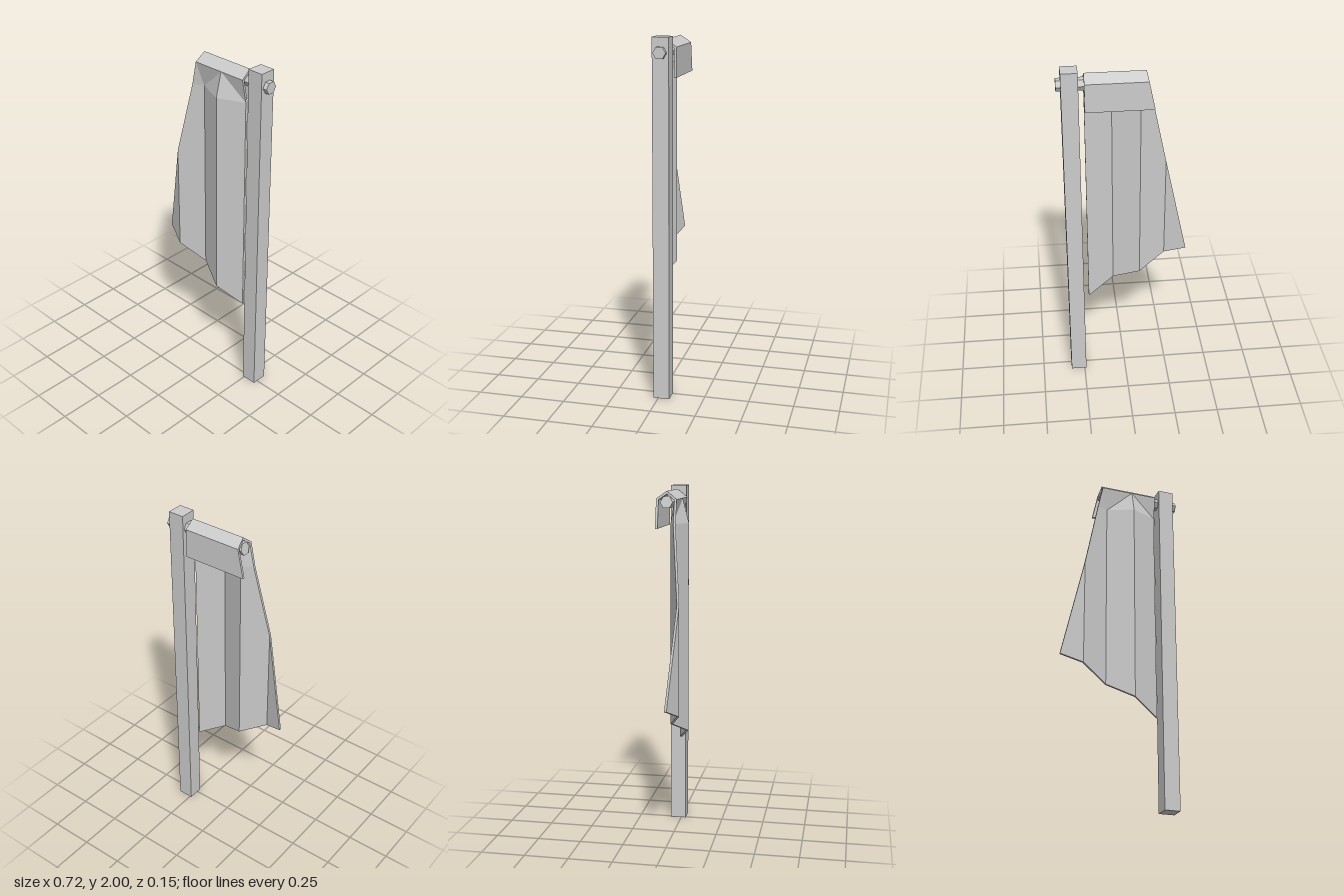
import * as THREE from 'three';

const grey = new THREE.MeshStandardMaterial({ color: 0xcccccc, flatShading: true });
grey.name = 'plain grey';

// x of the slanted outer edge of the cloth at height y
const slant = (y) => -0.115 - (1.98 - y) * 0.211;

// Thick faceted sheet: polygons of named points, an inner copy, and a rim along open edges
function thickSheet(points, polygons) {
  const pos = [];
  const outer = (k) => points[k].slice(0, 3);
  const inner = (k) => {
    const [x, y, z, dy, dz] = points[k];
    return [x, y + dy, z + dz];
  };
  const tri = (a, b, c) => pos.push(...a, ...b, ...c);
  const edges = new Set();
  for (const poly of polygons) {
    poly.forEach((k, i) => edges.add(k + ',' + poly[(i + 1) % poly.length]));
    for (let i = 1; i < poly.length - 1; i++) {
      const [a, b, c] = [poly[0], poly[i], poly[i + 1]];
      tri(outer(a), outer(b), outer(c));
      tri(inner(a), inner(c), inner(b));
    }
  }
  for (const edge of edges) {
    const [a, b] = edge.split(',');
    if (edges.has(b + ',' + a)) continue;
    tri(outer(a), inner(a), inner(b));
    tri(outer(a), inner(b), outer(b));
  }
  const geometry = new THREE.BufferGeometry();
  geometry.setAttribute('position', new THREE.Float32BufferAttribute(pos, 3));
  geometry.computeVertexNormals();
  return geometry;
}

function createBanner() {
  const t = 0.013;
  const front = (x, y, z) => [x, y, z, 0, -t];
  const points = {
    // top hem at the front
    T0: [0.21, 1.935, 0.038, -0.004, -t],
    M: [0.06, 1.935, 0.038, -0.004, -t],
    T1: [slant(1.935), 1.935, 0.038, -0.004, -t],
    // where the pleats begin
    P0: front(0.21, 1.8, 0.01),
    P1: front(0.06, 1.8, 0.073),
    P2: front(-0.09, 1.8, 0.01),
    P3: front(slant(1.8), 1.8, 0.037),
    // lower hem and outer edge
    B0: front(0.21, 0.52, 0.01),
    B1: front(0.06, 0.605, 0.073),
    B2: front(-0.09, 0.68, 0.01),
    B3: front(-0.24, 0.765, 0.073),
    E3: front(-0.24, 1.385, 0.073),
    B4: front(-0.36, 0.82, 0.025),
    // ridge over the rod and back flap
    R0: [0.21, 1.98, -0.018, -0.016, 0],
    R1: [slant(1.98), 1.98, -0.018, -0.016, 0],
    K0: [0.21, 1.94, -0.075, -0.007, t],
    K1: [slant(1.94), 1.94, -0.075, -0.007, t],
    F0: [0.21, 1.78, -0.075, 0, t],
    F1: [slant(1.78), 1.78, -0.075, 0, t],
  };
  const polygons = [
    'K0 F0 F1 K1', 'R0 K0 K1 R1', 'R0 R1 T1 M T0',
    'M P1 P0', 'M P2 P1', 'M P0 T0', 'T1 P2 M', 'T1 P3 P2',
    'P1 B1 B0 P0', 'P2 B2 B1 P1', 'P2 P3 E3 B3 B2', 'E3 B4 B3',
  ].map((s) => s.split(' '));
  return thickSheet(points, polygons);
}

// Six-sided rod along x, its outer end cut to the slant of the cloth
function createRod() {
  const geometry = new THREE.CylinderGeometry(0.035, 0.035, 0.48, 6);
  geometry.rotateZ(-Math.PI / 2);
  geometry.translate(0.115, 1.92, -0.018);
  const p = geometry.attributes.position;
  for (let i = 0; i < p.count; i++) {
    if (p.getX(i) < 0) p.setX(i, slant(p.getY(i)));
  }
  geometry.computeVertexNormals();
  return geometry;
}

export function createModel() {
  const model = new THREE.Group();
  model.name = 'bannerPole';
  const add = (name, geometry) => {
    const mesh = new THREE.Mesh(geometry, grey);
    mesh.name = name;
    model.add(mesh);
  };
  add('pole', new THREE.BoxGeometry(0.09, 2, 0.09).translate(0.285, 1, -0.018));
  add('crossRod', createRod());
  add('bannerCloth', createBanner());
  return model;
}
